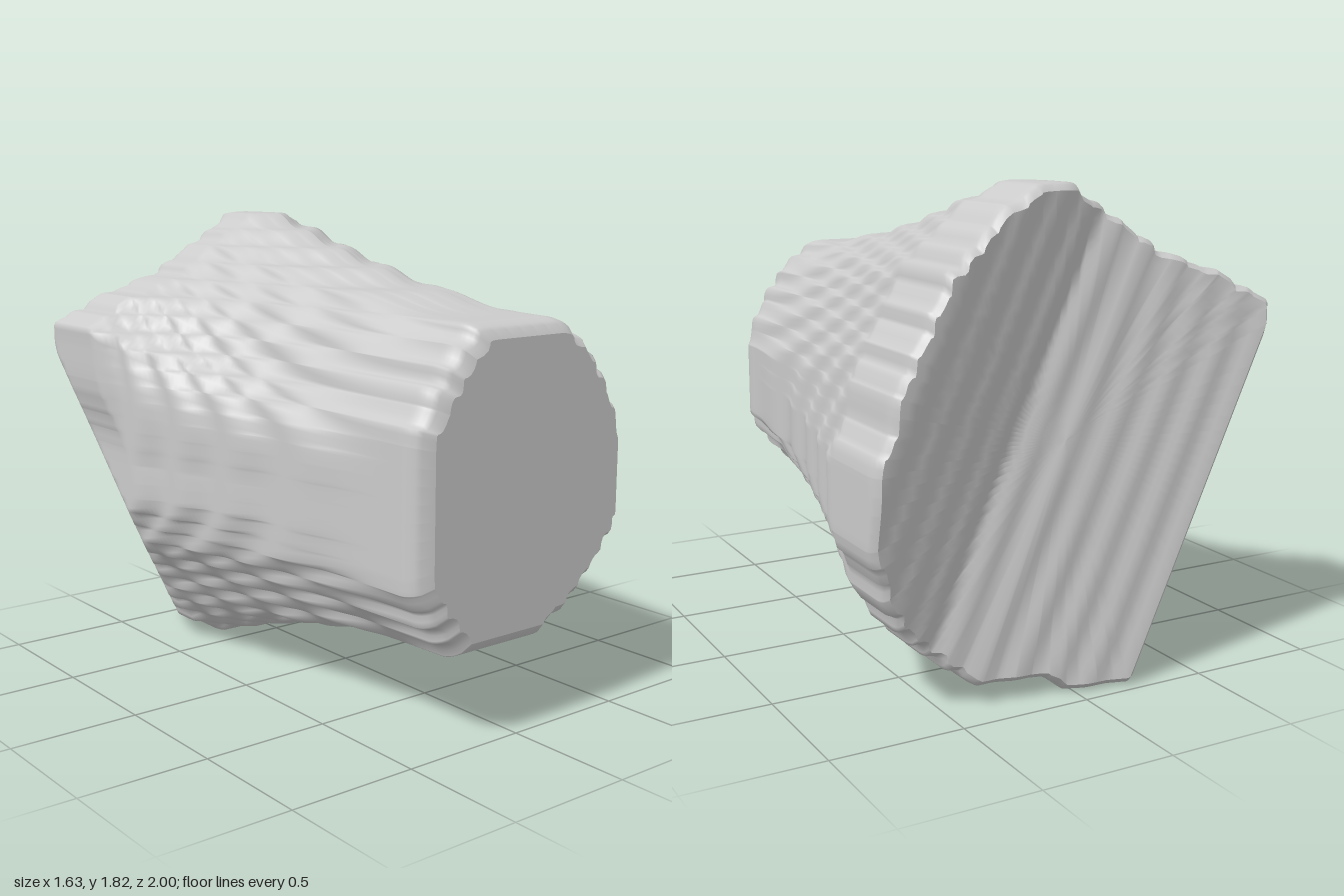
import * as THREE from 'three';

const CX = 0.02, CY = 0.92;   // long axis of the block
const AROUND = 240, ALONG = 110, CAP = 24;
const STEP = 0.065;           // terrace size

// Cross-section of the narrow front and of the wide back (x, y)
const FRONT = [
  [-0.49, 0.62], [-0.42, 0.49], [-0.29, 0.34], [0.1, 0.34], [0.26, 0.43], [0.42, 0.58], [0.52, 0.73], [0.52, 1.05],
  [0.44, 1.24], [0.31, 1.42], [0.17, 1.5], [-0.18, 1.5], [-0.28, 1.43], [-0.38, 1.3], [-0.49, 1.12],
];
const BACK = [
  [-0.82, 1.38], [-0.79, 1.15], [-0.74, 0.85], [-0.74, 0.68], [-0.67, 0.48], [-0.55, 0.35], [-0.45, 0.2],
  [-0.33, 0.07], [-0.2, 0.0], [0, 0.0], [0.1, 0.05], [0.37, 0.07], [0.5, 0.17], [0.65, 0.3], [0.75, 0.45],
  [0.82, 0.67], [0.82, 0.9], [0.77, 1.05], [0.72, 1.22], [0.62, 1.4], [0.55, 1.54], [0.42, 1.65],
  [0.3, 1.76], [0.1, 1.83], [0, 1.81], [-0.2, 1.7], [-0.33, 1.6], [-0.45, 1.54], [-0.6, 1.5], [-0.7, 1.43],
];

// Distance from the axis to an outline in a given direction
function radius(outline, angle) {
  const dx = Math.cos(angle), dy = Math.sin(angle);
  let best = 0;
  outline.forEach(([x1, y1], i) => {
    const [x2, y2] = outline[(i + 1) % outline.length];
    const ax = x1 - CX, ay = y1 - CY, ex = x2 - x1, ey = y2 - y1;
    const det = dx * ey - dy * ex;
    if (Math.abs(det) < 1e-9) return;
    const r = (ax * ey - ay * ex) / det;
    const u = (ax * dy - ay * dx) / det;
    if (u >= -1e-6 && u <= 1 + 1e-6) best = Math.max(best, r);
  });
  return best;
}

const bump = (a, centre, width) => Math.exp(-(((a - centre) / width) ** 2));
const angles = Array.from({ length: AROUND }, (_, j) => (j / AROUND) * Math.PI * 2);
const rFront = angles.map((a) => radius(FRONT, a));
const rBack = angles.map((a) => radius(BACK, a));
// The wall flares late, and latest above the projecting upper corner
const flare = angles.map((a) => 1.55 + 1.7 * bump(a, 2.53, 0.25) + 0.25 * bump(a, 3.4, 0.5));
// The low flank beside the cut reaches full width sooner
const flareLength = angles.map((a) => 1.55 - 0.2 * bump(a, 3.35, 0.5));

// Position across the slanted groove in the back
const across = (x, y) => 0.91 * x + 0.41 * y;

// Depth of the grooved back, piecewise linear across the groove
const GROOVE = [[-0.2, -0.965], [0.16, -0.9], [0.58, -0.832], [0.8, -0.9], [1.11, -1]];
function backDepth(x, y) {
  const s = THREE.MathUtils.clamp(across(x, y), -0.2, 1.11);
  const k = Math.max(1, GROOVE.findIndex((g) => g[0] >= s));
  const [s0, z0] = GROOVE[k - 1], [s1, z1] = GROOVE[k];
  return z0 + ((z1 - z0) * (s - s0)) / (s1 - s0) + 0.005 * Math.sin(s * 46);
}

const terrace = (v) => v - (0.95 * STEP * Math.sin((2 * Math.PI * v) / STEP)) / (2 * Math.PI);
// Quarter-round inset, 0 at the start of a rim and 1 at its end
const rim = (q) => 1 - Math.sqrt(1 - THREE.MathUtils.clamp(q, 0, 1) ** 2);

// Point of the flared wall at angle j and depth z, where the wall ends at zEnd
function wallPoint(j, z, zEnd) {
  const t = Math.pow(THREE.MathUtils.clamp((0.9 - z) / flareLength[j], 0, 1), flare[j]);
  const r = rFront[j] + (rBack[j] - rFront[j]) * t;
  let x = terrace(CX + r * Math.cos(angles[j]) - 0.04) + 0.04;
  let y = Math.max(0, terrace(CY + r * Math.sin(angles[j])));
  // oblique cut beside the back
  const limit = -0.2 - 0.42 * (z + 0.965), sc = across(CX, CY), s = across(x, y);
  let f = z < -0.4 && s < limit ? (sc - limit) / (sc - s) : 1;
  // rounded front and back rims
  const front = rim((z - 0.9) / 0.1);
  f *= 1 - 0.095 * front;
  f *= 1 - 0.03 * rim(1 - (z - zEnd) / 0.06);
  x = CX + (x - CX) * f + 0.03 * front;
  y = CY + (y - CY) * f;
  return [x, y, z];
}

function wallAt(j, v) {
  const [x0, y0] = wallPoint(j, -0.9, -1);
  const z0 = backDepth(x0, y0);
  const [x1, y1] = wallPoint(j, z0, z0);
  const zEnd = backDepth(x1, y1);
  return wallPoint(j, 1 + (zEnd - 1) * v, zEnd);
}

// Skin of rings, each ring running counter-clockwise seen from the front
function skin(name, rings, pointAt) {
  const pos = [], idx = [];
  for (let i = 0; i <= rings; i++) {
    for (let j = 0; j < AROUND; j++) {
      pos.push(...pointAt(j, i / rings));
      if (i === rings) continue;
      const a = i * AROUND + j, b = i * AROUND + ((j + 1) % AROUND);
      idx.push(a, a + AROUND, b, b, a + AROUND, b + AROUND);
    }
  }
  const g = new THREE.BufferGeometry();
  g.setAttribute('position', new THREE.Float32BufferAttribute(pos, 3));
  g.setIndex(idx);
  g.computeVertexNormals();
  const mesh = new THREE.Mesh(g, new THREE.MeshStandardMaterial({ color: 0xcccccc }));
  mesh.name = name;
  return mesh;
}

export function createModel() {
  const group = new THREE.Group();
  group.name = 'flaredBlock';

  // Terraced, flaring side wall
  group.add(skin('sideWall', ALONG, wallAt));

  // Flat front end
  group.add(skin('frontFace', 2, (j, v) => {
    const [x, y] = wallAt(j, 0);
    return [CX + (x - CX) * v, CY + (y - CY) * v, 1];
  }));

  // Back end with a shallow slanted groove
  group.add(skin('groovedBack', CAP, (j, v) => {
    const [x, y, z] = wallAt(j, 1);
    if (v === 0) return [x, y, z];
    const px = CX + (x - CX) * (1 - v), py = CY + (y - CY) * (1 - v);
    return [px, py, backDepth(px, py)];
  }));
  return group;
}
